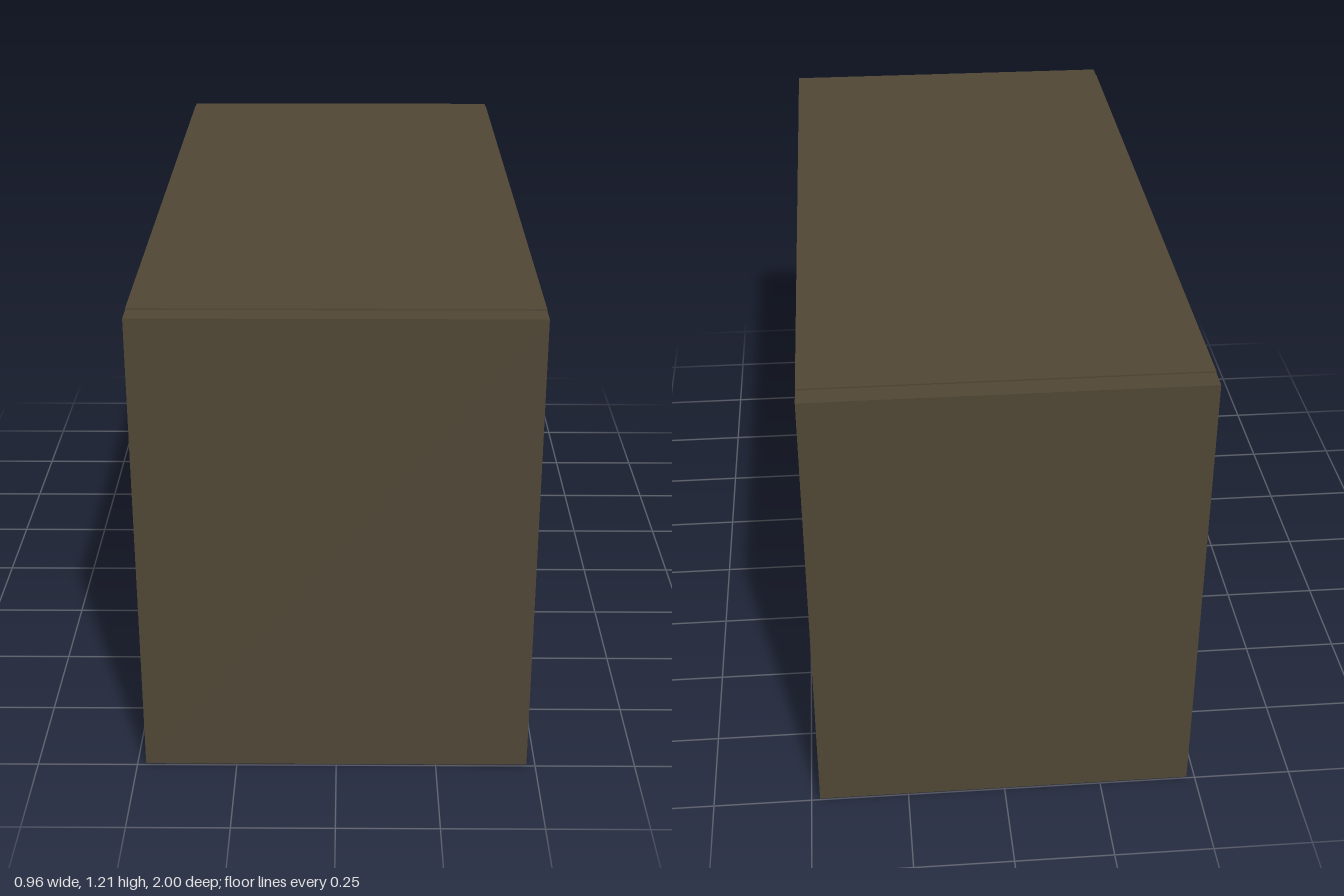
import * as THREE from 'three';

export function createModel() {
  const model = new THREE.Group();
  model.name = 'openBookcase';
  const wood = new THREE.MeshStandardMaterial({ name: 'dark brown wood', color: 0x4f4635 });

  // Board given by its lower and upper corners
  function board(name, [x0, y0, z0], [x1, y1, z1]) {
    const mesh = new THREE.Mesh(new THREE.BoxGeometry(x1 - x0, y1 - y0, z1 - z0), wood);
    mesh.position.set((x0 + x1) / 2, (y0 + y1) / 2, (z0 + z1) / 2);
    mesh.name = name;
    model.add(mesh);
  }

  const front = 0.478, back = -0.478, inner = 0.945;

  // End panels, a hair shorter than the carcass
  board('frontEndPanel', [back, 0.004, inner], [front, 1.201, 1]);
  board('backEndPanel', [back, 0.004, -1], [front, 1.201, -inner]);

  // Horizontal boards between the ends, open towards +x
  board('bottomBoard', [back, 0, -inner], [front, 0.06, inner]);
  board('middleShelf', [back + 0.02, 0.582, -inner], [front, 0.632, inner]);
  board('topBoard', [back, 1.153, -inner], [front, 1.205, inner]);

  // Closing panel on the -x side, set between top and bottom boards
  board('rearPanel', [back + 0.002, 0.06, -inner], [back + 0.03, 1.153, inner]);

  return model;
}
